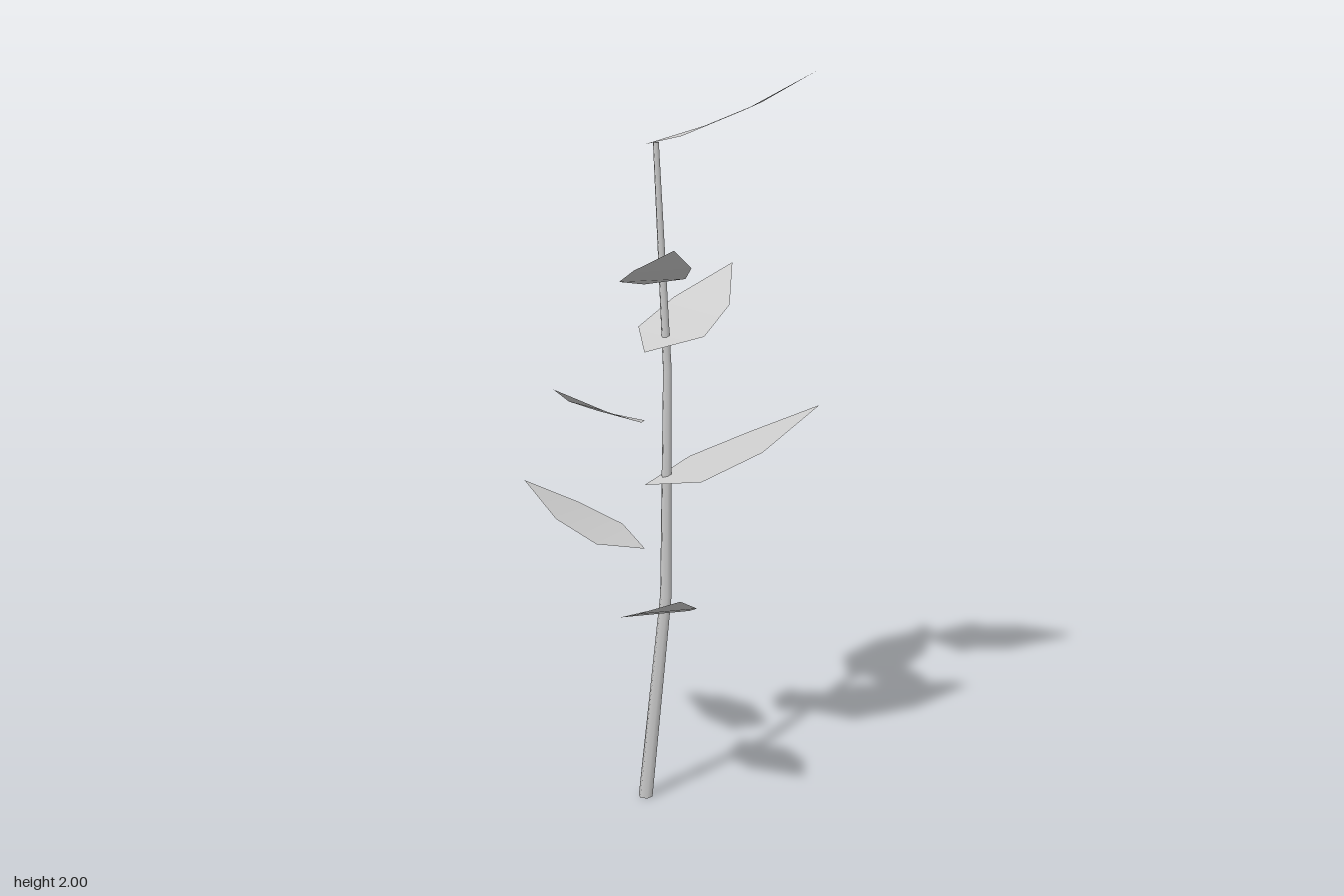
import * as THREE from 'three';

const grey = new THREE.MeshStandardMaterial({ color: 0xcccccc, side: THREE.DoubleSide });
grey.name = 'plant grey';

// Six-cornered leaf of unit length along +z, curling upward to its tip
function leafGeometry() {
  const rows = [[0.29, 0.266, 0.086], [0.638, 0.226, 0.235]]; // distance, half width, height
  const points = [0, 0, 0];
  for (const [z, w, y] of rows) points.push(-w, y, z, w, y, z);
  points.push(0, 0.441, 1);
  const geometry = new THREE.BufferGeometry();
  geometry.setAttribute('position', new THREE.Float32BufferAttribute(points, 3));
  geometry.setIndex([0, 1, 2, 1, 3, 4, 1, 4, 2, 3, 5, 4]);
  geometry.computeVertexNormals();
  return geometry;
}

// Tapered stem, its rings shifted sideways to make the kinks
function stemGeometry() {
  const centres = [[-0.03, 0.04], [0.022, 0.012], [-0.043, -0.055], [-0.078, -0.047]];
  const geometry = new THREE.CylinderGeometry(0.008, 0.02, 1.8, 6, 3);
  geometry.translate(0, 0.9, 0);
  const p = geometry.attributes.position;
  for (let i = 0; i < p.count; i++) {
    const [x, z] = centres[Math.round(p.getY(i) / 0.6)];
    p.setX(i, p.getX(i) + x);
    p.setZ(i, p.getZ(i) + z);
  }
  return geometry;
}

export function createModel() {
  const plant = new THREE.Group();
  plant.name = 'plant';

  const stem = new THREE.Mesh(stemGeometry(), grey);
  stem.name = 'stem';
  plant.add(stem);

  // Leaves from bottom to top: base height, tip x, tip z
  const baseX = -0.031, baseZ = 0.039;
  const leaves = [
    [0.546, 0.284, 0.21],
    [0.726, -0.347, 0.193],
    [0.905, 0.25, -0.334],
    [1.083, -0.026, 0.355],
    [1.266, -0.104, -0.359],
    [1.446, 0.25, 0.202],
    [1.805, 0.347, -0.195],
  ];
  const geometry = leafGeometry();
  leaves.forEach(([y, x, z], i) => {
    const leaf = new THREE.Mesh(geometry, grey);
    leaf.name = `leaf${i + 1}`;
    leaf.position.set(baseX, y, baseZ);
    leaf.rotation.y = Math.atan2(x - baseX, z - baseZ);
    leaf.scale.setScalar(Math.hypot(x - baseX, z - baseZ));
    plant.add(leaf);
  });
  return plant;
}
